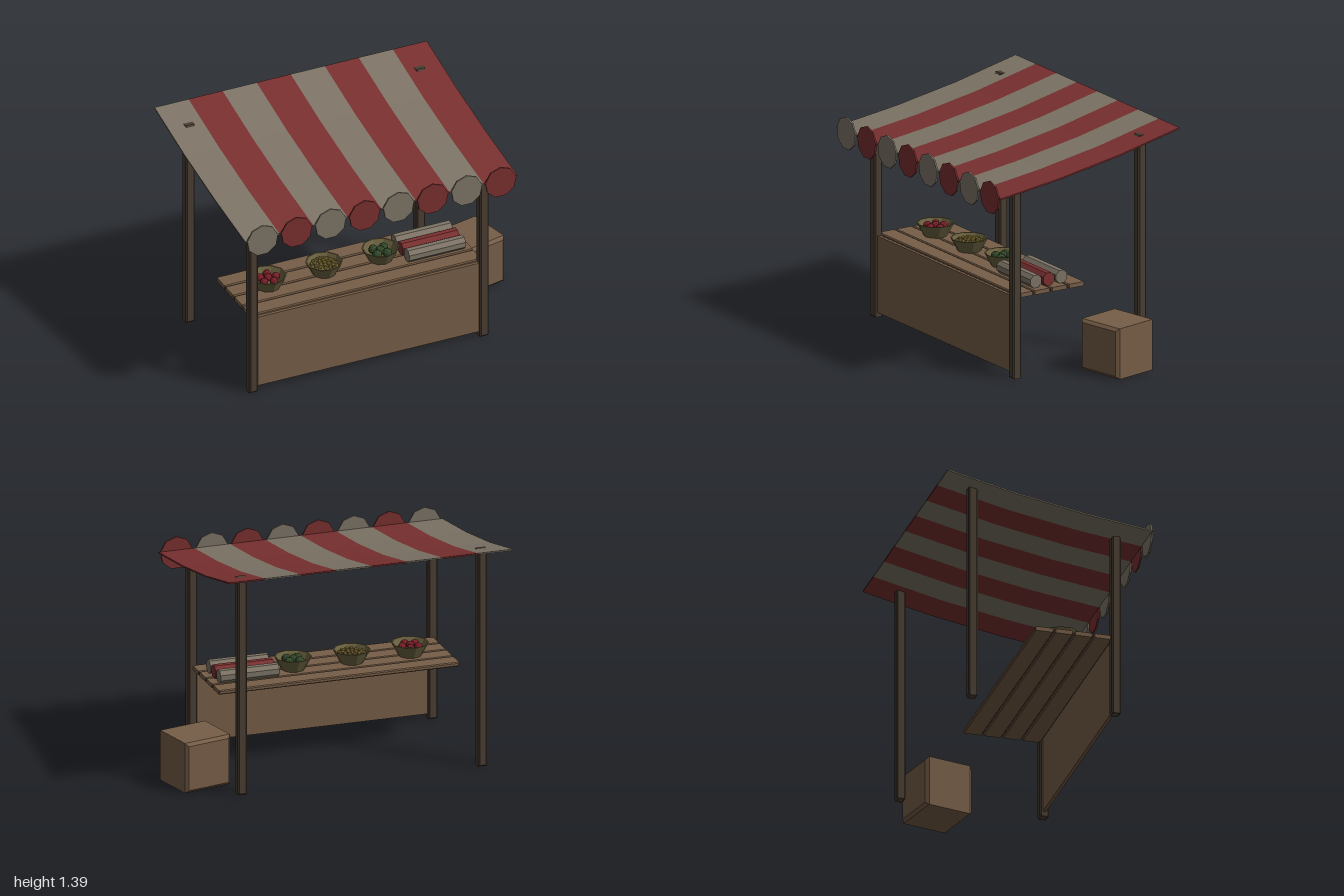
import * as THREE from 'three';

const mat = (color, extra = {}) => new THREE.MeshStandardMaterial({ color, flatShading: true, ...extra });

// Box with chamfered edges, centred on its origin
function chamferBox(w, h, d, b) {
  const x = w / 2 - b, y = h / 2 - b;
  const s = new THREE.Shape([[-x, -y], [x, -y], [x, y], [-x, y]].map(p => new THREE.Vector2(...p)));
  const g = new THREE.ExtrudeGeometry(s, {
    depth: d - 2 * b, bevelEnabled: true, bevelSize: b, bevelThickness: b, bevelSegments: 1
  });
  return g.translate(0, 0, -d / 2 + b);
}

export function createModel() {
  const group = new THREE.Group();
  const cream = mat(0x7d7466), red = mat(0x7a3030), wood = mat(0x765d47), darkWood = mat(0x4a3e33);
  const basket = mat(0x6a6140, { side: THREE.DoubleSide });
  const add = (name, geometry, material, x, y, z, parent = group) => {
    const m = new THREE.Mesh(geometry, material);
    m.name = name;
    m.position.set(x, y, z);
    parent.add(m);
    return m;
  };

  // Posts: short pair in front, tall pair behind
  const postX = [-0.867, 0.628];
  for (const x of postX) {
    add('frontPost', chamferBox(0.058, 1.143, 0.058, 0.009), darkWood, x, 0.5715, 0.435);
    add('backPost', chamferBox(0.058, 1.352, 0.058, 0.009), darkWood, x, 0.676, -0.441);
  }
  const midX = (postX[0] + postX[1]) / 2;

  // Counter front and planks
  add('counterPanel', new THREE.BoxGeometry(1.47, 0.47, 0.02), wood, midX, 0.265, 0.435);
  for (let i = 0; i < 4; i++)
    add('counterPlank', chamferBox(1.495, 0.026, 0.114, 0.006), wood, midX, 0.497, 0.362 - i * 0.12);

  // Sagging striped canopy with a disc hanging from each stripe
  const sag = [[0.625, 1.157], [0.207, 1.215], [-0.21, 1.291], [-0.628, 1.389]];
  const stripeW = 1.765 / 8;
  for (let i = 0; i < 8; i++) {
    const x = -1 + stripeW * (i + 0.5);
    const color = i % 2 ? red : cream;
    const g = new THREE.BoxGeometry(stripeW, 0.009, 1, 1, 1, 3);
    const p = g.attributes.position;
    for (let v = 0; v < p.count; v++) {
      const [z, y] = sag[Math.round((0.5 - p.getZ(v)) * 3)];
      p.setY(v, p.getY(v) + y);
      p.setZ(v, z);
    }
    g.computeVertexNormals();
    add('canopyStripe', g, color, x, 0, 0);
    const disc = new THREE.CylinderGeometry(0.1005, 0.1005, 0.01, 9)
      .rotateY(Math.PI).rotateX(Math.PI / 2);
    add('valanceDisc', disc, color, x, 1.1445, 0.626);
  }

  // Bowls of produce: [x, colour, item radius, rings of [count, ring radius, height]]
  const bowlProfile = [[0, 0.004], [0.064, 0.004], [0.104, 0.078], [0.112, 0.078], [0.07, 0], [0, 0]]
    .map(p => new THREE.Vector2(...p));
  const bowls = [
    [-0.638, 0x7c2028, 0.025, [[1, 0, 0.06], [5, 0.05, 0.056]]],
    [-0.275, 0x9a8540, 0.014, [[1, 0, 0.07], [6, 0.027, 0.068], [11, 0.055, 0.064], [14, 0.073, 0.053]]],
    [0.09, 0x33492a, 0.029, [[1, 0, 0.058], [4, 0.045, 0.054]]]
  ];
  for (const [x, color, r, rings] of bowls) {
    const bowl = new THREE.Group();
    bowl.name = 'produceBowl';
    bowl.position.set(x, 0.51, 0.168);
    group.add(bowl);
    add('bowl', new THREE.LatheGeometry(bowlProfile, 10), basket, 0, 0, 0, bowl);
    const item = new THREE.IcosahedronGeometry(r, r > 0.02 ? 1 : 0), skin = mat(color);
    for (const [n, ringR, y] of rings)
      for (let k = 0; k < n; k++) {
        const a = k / n * Math.PI * 2 + n;
        add('produce', item, skin, Math.cos(a) * ringR, y, Math.sin(a) * ringR, bowl).rotation.set(a, n, k);
      }
  }

  // Cloth rolls
  [0.259, 0.169, 0.079].forEach((z, i) => {
    const g = new THREE.CylinderGeometry(0.042, 0.042, 0.365, 8).rotateY(Math.PI / 8).rotateZ(Math.PI / 2);
    add('clothRoll', g, i === 1 ? red : cream, 0.402, 0.55, z);
  });

  // Crate turned slightly beside the stall
  add('crate', chamferBox(0.31, 0.31, 0.31, 0.018), wood, 0.816, 0.156, -0.16).rotation.y = 0.22;

  return group;
}
